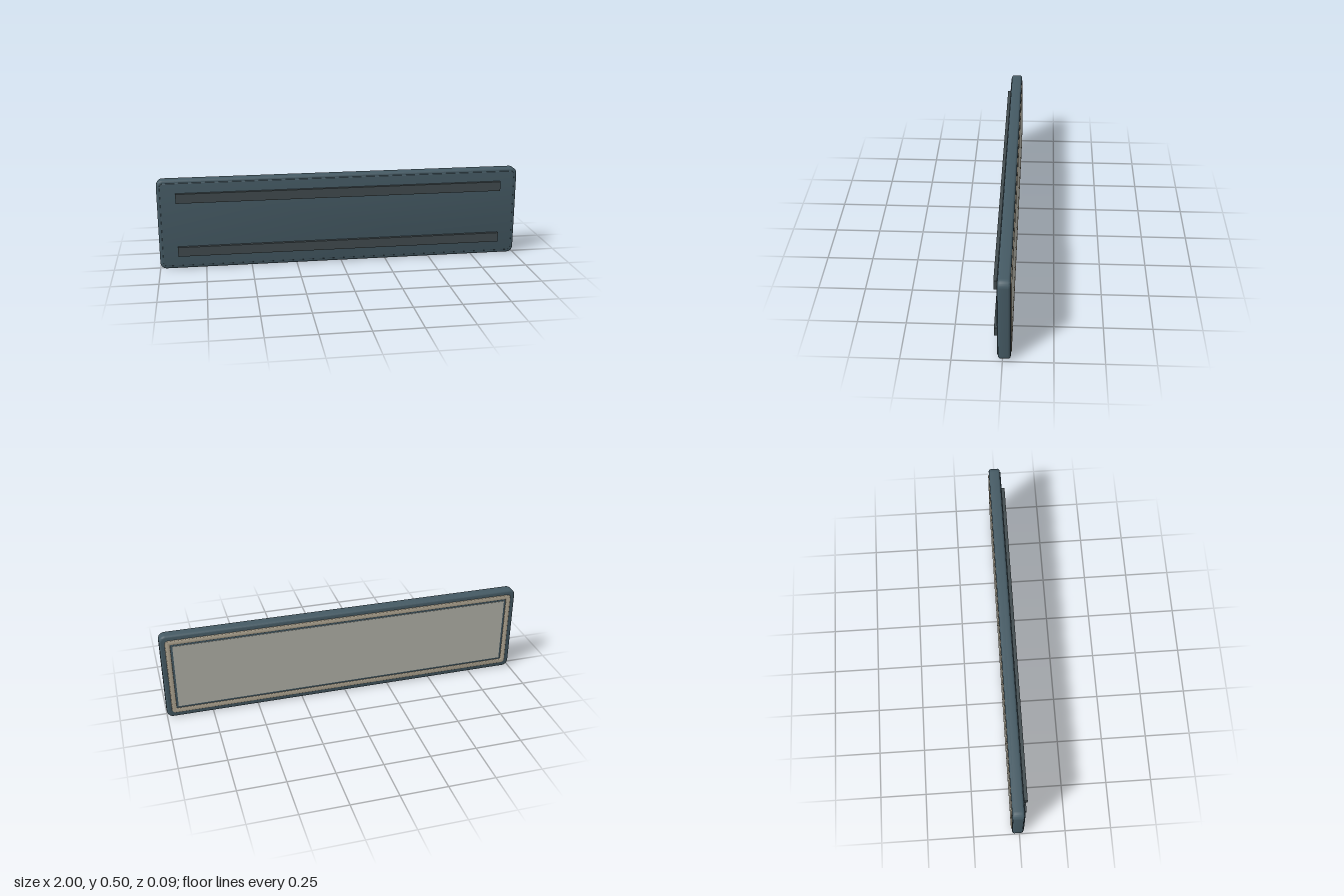
import * as THREE from 'three';
import { toCreasedNormals } from 'three/addons/utils/BufferGeometryUtils.js';

const CENTER_Y = 0.25;

// Trace a centred rounded rectangle on a Shape or Path
function roundedRect(path, w, h, r) {
  const x = w / 2, y = h / 2;
  path.moveTo(-x + r, -y);
  path.lineTo(x - r, -y);
  path.absarc(x - r, -y + r, r, -Math.PI / 2, 0);
  path.lineTo(x, y - r);
  path.absarc(x - r, y - r, r, 0, Math.PI / 2);
  path.lineTo(-x + r, y);
  path.absarc(-x + r, y - r, r, Math.PI / 2, Math.PI);
  path.lineTo(-x, -y + r);
  path.absarc(-x + r, -y + r, r, Math.PI, Math.PI * 1.5);
  return path;
}

// Bevelled rounded slab between z0 and z1, optionally with a rectangular opening
function slab(name, color, { w, h, r, z0, z1, bevel, hole }) {
  const shape = roundedRect(new THREE.Shape(), w, h, r);
  if (hole) shape.holes.push(roundedRect(new THREE.Path(), hole.w, hole.h, hole.r));
  const geometry = new THREE.ExtrudeGeometry(shape, {
    depth: z1 - z0 - 2 * bevel,
    bevelEnabled: bevel > 0,
    bevelThickness: bevel,
    bevelSize: bevel,
    bevelOffset: -bevel,
    bevelSegments: 3,
    curveSegments: 6,
  });
  geometry.translate(0, CENTER_Y, z0 + bevel);
  const mesh = new THREE.Mesh(
    toCreasedNormals(geometry, 0.7),
    new THREE.MeshStandardMaterial({ color })
  );
  mesh.name = name;
  return mesh;
}

export function createModel() {
  const model = new THREE.Group();
  model.name = 'signPanel';

  // Main housing and the thin plate on its front
  model.add(slab('housing', 0x455a64, { w: 2, h: 0.5, r: 0.035, z0: -0.04, z1: 0.022, bevel: 0.012 }));
  model.add(slab('mountingPlate', 0x455a64, { w: 1.965, h: 0.465, r: 0.02, z0: 0.015, z1: 0.026, bevel: 0.002 }));

  // Raised trim around the back, with the face panel inside it
  model.add(slab('trimFrame', 0xb8ad98, {
    w: 1.945, h: 0.446, r: 0.02, z0: -0.0445, z1: -0.034, bevel: 0.004,
    hole: { w: 1.893, h: 0.394, r: 0.006 },
  }));
  model.add(slab('facePanel', 0xb4b4aa, { w: 1.87, h: 0.372, r: 0.003, z0: -0.042, z1: -0.036, bevel: 0 }));

  // Two long mounting rails
  for (const [name, y] of [['lowerRail', 0.101], ['upperRail', 0.401]]) {
    const rail = new THREE.Mesh(
      new THREE.BoxGeometry(1.8, 0.052, 0.0235),
      new THREE.MeshStandardMaterial({ color: 0x414b4e })
    );
    rail.name = name;
    rail.position.set(0, y, 0.0327);
    model.add(rail);
  }
  return model;
}
